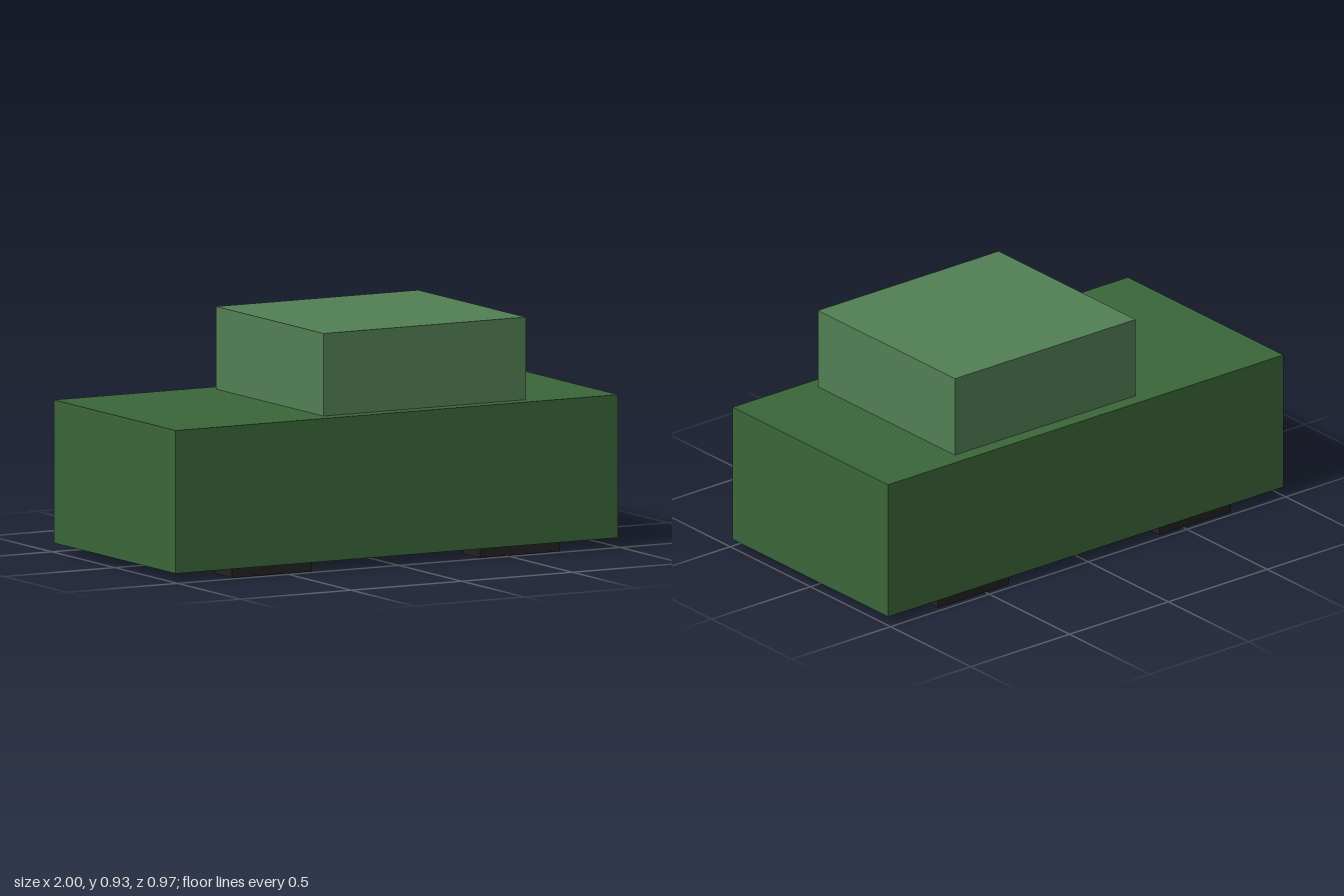
import * as THREE from 'three';

export function createModel() {
  const model = new THREE.Group();
  model.name = 'car';

  const bodyPaint = new THREE.MeshStandardMaterial({ color: 0x3b6639 });
  const cabinPaint = new THREE.MeshStandardMaterial({ color: 0x527f54 });
  const rubber = new THREE.MeshStandardMaterial({ color: 0x222222 });

  // Box given by its size, the height of its underside and its centre on the ground plane
  function addBox(name, [w, h, d], bottom, x, z, material) {
    const mesh = new THREE.Mesh(new THREE.BoxGeometry(w, h, d), material);
    mesh.name = name;
    mesh.position.set(x, bottom + h / 2, z);
    model.add(mesh);
  }

  // Body slab and the cabin standing on it
  addBox('body', [2, 0.568, 0.97], 0.037, 0, 0, bodyPaint);
  addBox('cabin', [0.914, 0.328, 0.854], 0.605, 0.158, 0, cabinPaint);

  // Four block wheels, mostly tucked inside the body
  for (const x of [-0.56, 0.56]) {
    for (const z of [-0.408, 0.408]) {
      addBox('wheel', [0.36, 0.36, 0.136], 0, x, z, rubber);
    }
  }

  return model;
}
